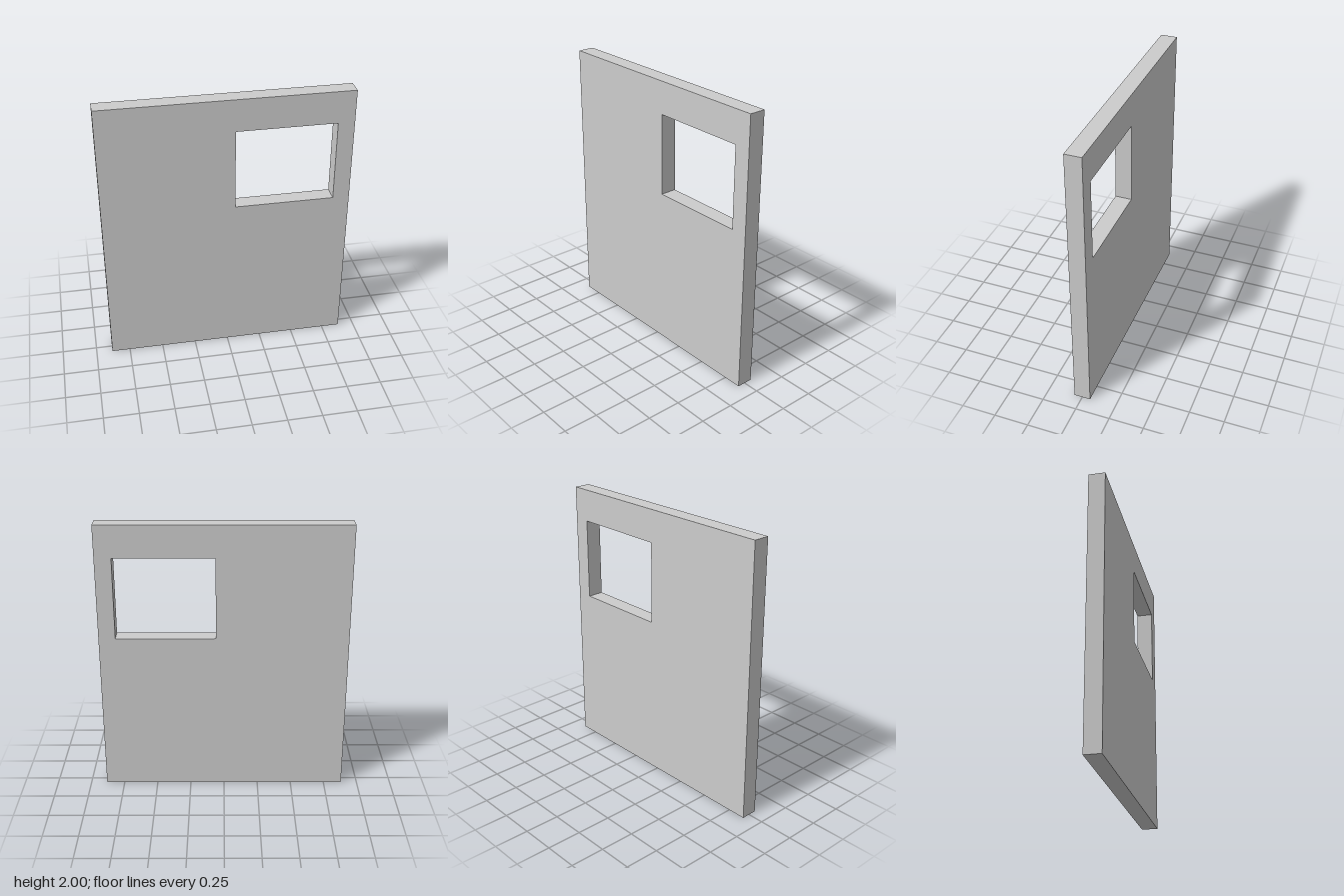
import * as THREE from 'three';

const WIDTH = 1.765, HEIGHT = 2, DEPTH = 0.118;
const OPENING = { left: 0.057, right: 0.764, bottom: 1.177, top: 1.766 };

// Traces a rectangle on a Shape or Path
function rectangle(path, x0, y0, x1, y1) {
  path.moveTo(x0, y0);
  path.lineTo(x1, y0);
  path.lineTo(x1, y1);
  path.lineTo(x0, y1);
  path.closePath();
  return path;
}

export function createModel() {
  const group = new THREE.Group();
  group.name = 'wallWithWindow';

  // Wall slab with a rectangular window opening
  const outline = rectangle(new THREE.Shape(), -WIDTH / 2, 0, WIDTH / 2, HEIGHT);
  outline.holes.push(
    rectangle(new THREE.Path(), OPENING.left, OPENING.bottom, OPENING.right, OPENING.top)
  );
  const geometry = new THREE.ExtrudeGeometry(outline, { depth: DEPTH, bevelEnabled: false });
  geometry.translate(0, 0, -DEPTH / 2);

  const wall = new THREE.Mesh(geometry, new THREE.MeshStandardMaterial({ color: 0xcccccc }));
  wall.name = 'wallPanel';
  group.add(wall);
  return group;
}
